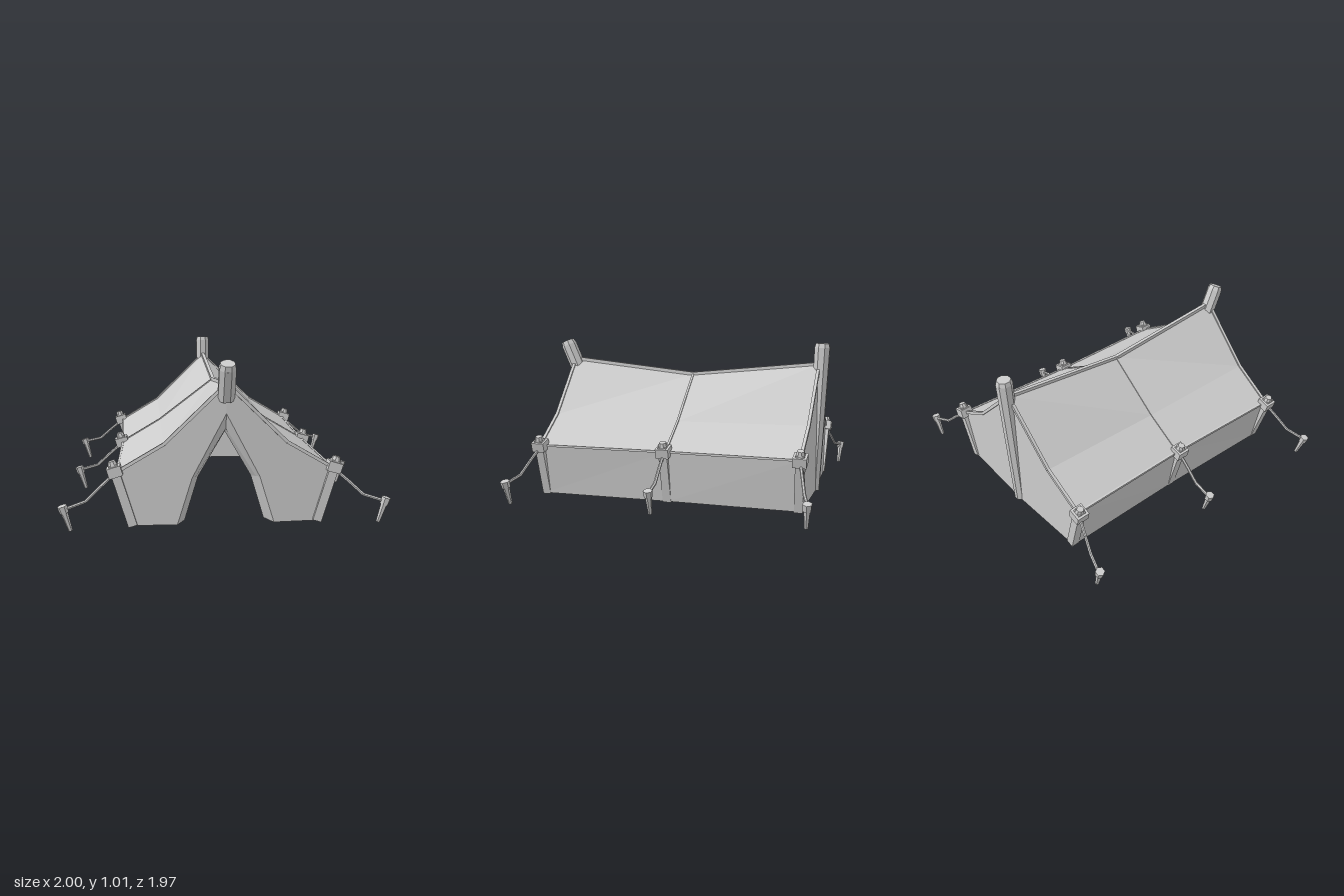
import * as THREE from 'three';

const mat = new THREE.MeshStandardMaterial({ color: 0xcccccc, flatShading: true, side: THREE.DoubleSide });
const V = (x, y, z) => new THREE.Vector3(x, y, z);

function add(parent, name, geo) {
  const m = new THREE.Mesh(geo, mat);
  m.name = name;
  parent.add(m);
  return m;
}

// Straight bar from a to b, w0 wide at a and w1 wide at b (across flats)
function bar(parent, name, a, b, w0, w1 = w0, sides = 4) {
  const k = 0.5 / Math.cos(Math.PI / sides);
  const dir = b.clone().sub(a);
  const geo = new THREE.CylinderGeometry(w1 * k, w0 * k, dir.length(), sides);
  geo.rotateY(Math.PI / sides);
  const m = add(parent, name, geo);
  m.position.copy(a).add(b).multiplyScalar(0.5);
  m.quaternion.setFromUnitVectors(V(0, 1, 0), dir.normalize());
  return m;
}

// Surface through rows of points, all rows the same length
function loft(rows) {
  const n = rows[0].length, idx = [];
  for (let i = 0; i < rows.length - 1; i++)
    for (let j = 0; j < n - 1; j++) {
      const a = i * n + j, b = a + n;
      idx.push(a, b, a + 1, b, b + 1, a + 1);
    }
  const geo = new THREE.BufferGeometry().setFromPoints(rows.flat());
  geo.setIndex(idx);
  const flat = geo.toNonIndexed();
  flat.computeVertexNormals();
  return flat;
}

// Gable planes bulge slightly towards the middle
const frontZ = (x) => 0.85 + 0.03 * (1 - Math.abs(x) / 0.65);
const backZ = (x) => -0.865 - 0.02 * (1 - Math.abs(x) / 0.65);

// Cloth section on the +x side at station t: 1 front, 0 middle, -1 back
function section(t) {
  const e = Math.abs(t);
  const pts = [[0, 0.77 + 0.09 * e], [0.37, 0.49 + 0.01 * e], [0.632 + 0.018 * e, 0.335], [0.578 + 0.012 * e, 0]];
  return pts.map(([x, y]) => V(x, y, t > 0 ? frontZ(x) : t < 0 ? backZ(x) : -0.01));
}

// Flat gable outline bent along the gable plane
function gable(points, zAt) {
  const geo = new THREE.ShapeGeometry(new THREE.Shape(points.map(([x, y]) => new THREE.Vector2(x, y))));
  const p = geo.attributes.position;
  for (let i = 0; i < p.count; i++) p.setZ(i, zAt(p.getX(i)));
  geo.computeVertexNormals();
  return geo;
}

// Leaning side post with collar, guy rope and ground peg
function postSet(name, foot, top, pegTop) {
  const g = new THREE.Group();
  g.name = name;
  const at = (t) => foot.clone().lerp(top, t);
  bar(g, 'post', foot, at(0.94), 0.055);
  bar(g, 'postTip', at(0.94), top, 0.055, 0.042, 8);
  bar(g, 'postCollar', at(0.77), at(0.92), 0.085, 0.085);

  const a = at(0.82), b = pegTop.clone().add(V(-0.015, -0.02, 0));
  const pt = (t, y) => { const p = a.clone().lerp(b, t); p.y = y; return p; };
  const path = [a, pt(0.33, 0.245), pt(0.6, 0.172), b];
  for (let i = 0; i < 3; i++) bar(g, 'guyRope', path[i], path[i + 1], 0.018, 0.018, 6);

  const sz = Math.sign(pegTop.z) * (Math.abs(pegTop.z) > 0.1 ? 0.01 : 0);
  const tip = pegTop.clone().add(V(-0.045, -pegTop.y + 0.005, -sz));
  const peg = (t) => tip.clone().lerp(pegTop, t);
  bar(g, 'peg', tip, peg(0.72), 0.022, 0.036, 6);
  bar(g, 'pegHead', peg(0.72), pegTop, 0.046, 0.052, 6);
  return g;
}

// Everything on the +x side; mirrored for the other side
function buildHalf() {
  const g = new THREE.Group();
  const secs = [section(1), section(0), section(-1)];

  add(g, 'roofCloth', loft(secs.map((s) => s.slice(0, 3))));
  add(g, 'sideWall', loft(secs.map((s) => s.slice(2))));

  // Front wall, with a door opening whose edge is folded inwards
  const fold = [
    [[0.295, 0], [0.205, 0.29], [0, 0.68]],
    [[0.275, 0], [0.185, 0.285], [0, 0.585]],
    [[0.245, 0], [0.162, 0.275], [0, 0.555]],
  ];
  const depth = [0, 0.035, 0.1];
  const s = secs[0].map((p) => [p.x, p.y]);
  add(g, 'frontWall', gable([...fold[0], ...s], frontZ));
  add(g, 'doorFold', loft(fold.map((row, i) => row.map(([x, y]) => V(x, y, frontZ(x) - depth[i])))));

  // Back wall
  add(g, 'backWall', gable([[0, 0], ...secs[2].map((p) => [p.x, p.y])], backZ));

  // Trim along gable edges, centre seam and eaves
  secs.forEach((sec, k) => {
    const w = k === 1 ? 0.014 : 0.02;
    for (let i = 0; i < 2; i++) bar(g, k === 1 ? 'roofSeam' : 'gableTrim', sec[i], sec[i + 1], w);
  });
  for (let k = 0; k < 2; k++) bar(g, 'eaveTrim', secs[k][2], secs[k + 1][2], 0.014);

  // Posts with ropes and pegs
  g.add(postSet('frontPost', V(0.562, 0, 0.845), V(0.682, 0.4, 0.845), V(0.97, 0.16, 0.94)));
  g.add(postSet('middlePost', V(0.55, 0, 0), V(0.655, 0.4, 0), V(0.942, 0.16, 0)));
  g.add(postSet('backPost', V(0.562, 0, -0.85), V(0.682, 0.4, -0.87), V(0.97, 0.16, -0.955)));
  return g;
}

export function createModel() {
  const model = new THREE.Group();
  model.name = 'tent';

  const left = buildHalf();
  left.name = 'leftHalf';
  const right = buildHalf();
  right.name = 'rightHalf';
  right.scale.x = -1;
  model.add(left, right);

  // Ridge rope sagging to the middle
  const ridge = [section(1)[0], section(0)[0], section(-1)[0]];
  for (let k = 0; k < 2; k++) bar(model, 'ridgeTrim', ridge[k], ridge[k + 1], 0.024);

  // Tilted ridge end at the front, full pole at the back
  bar(model, 'frontRidgeEnd', V(0, 0.765, 0.85), V(0, 0.955, 0.933), 0.1, 0.1, 8);
  bar(model, 'frontRidgeCap', V(0, 0.955, 0.933), V(0, 0.985, 0.946), 0.1, 0.085, 8);
  bar(model, 'backPole', V(0, 0, -0.865), V(0, 0.97, -0.904), 0.08, 0.1, 8);
  bar(model, 'backPoleCap', V(0, 0.97, -0.904), V(0, 0.998, -0.905), 0.1, 0.085, 8);
  return model;
}
